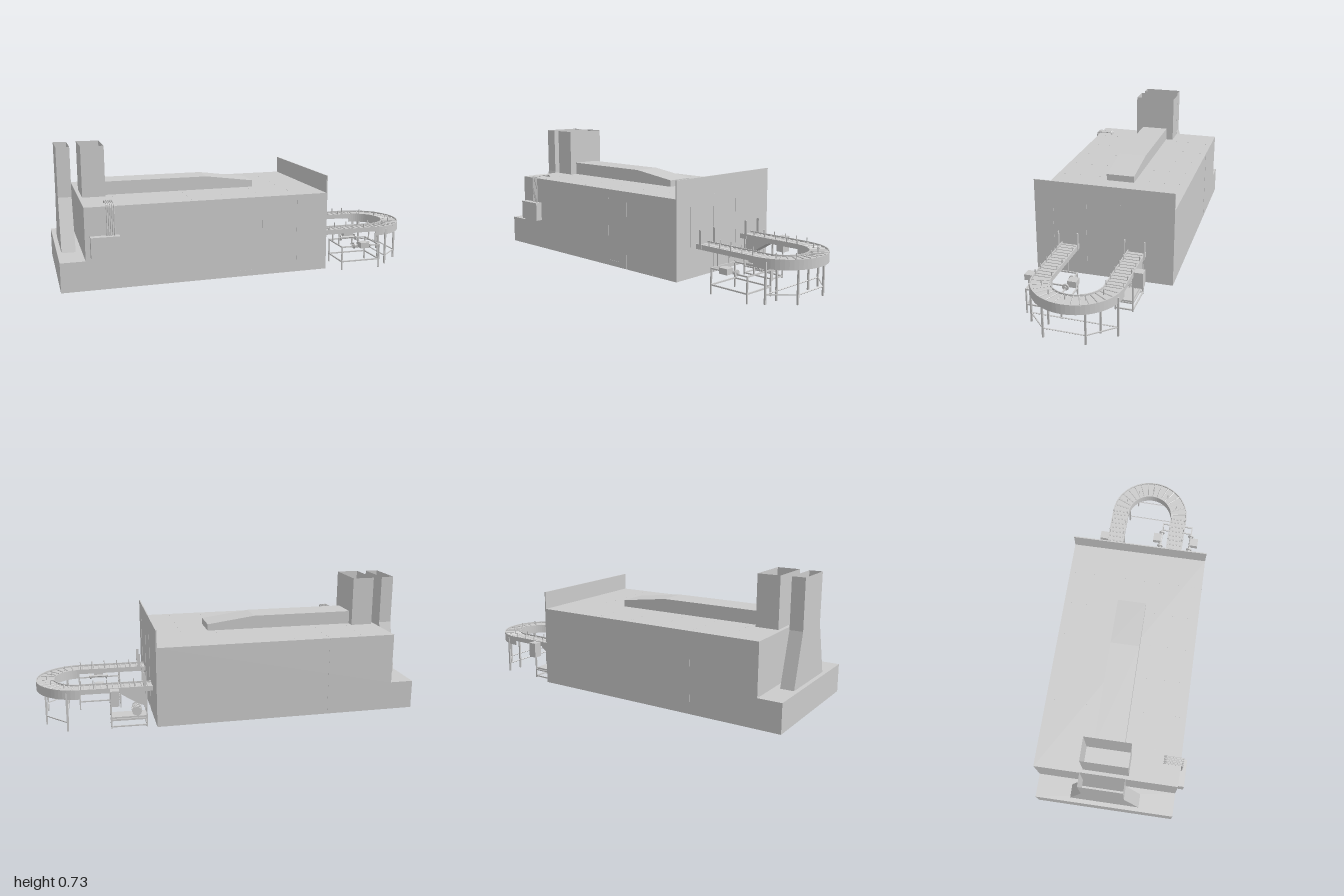
import * as THREE from 'three';

const mat = new THREE.MeshStandardMaterial({ color: 0xcccccc, flatShading: true, side: THREE.DoubleSide });

function add(parent, name, geo) {
  const m = new THREE.Mesh(geo, mat);
  m.name = name;
  parent.add(m);
  return m;
}
// Box given by its minimum and maximum on every axis
function box(parent, name, x0, x1, y0, y1, z0, z1) {
  const m = add(parent, name, new THREE.BoxGeometry(x1 - x0, y1 - y0, z1 - z0));
  m.position.set((x0 + x1) / 2, (y0 + y1) / 2, (z0 + z1) / 2);
  return m;
}
// Round bar between two points
function bar(parent, name, a, b, r, sides = 8) {
  const p = new THREE.Vector3(...a), q = new THREE.Vector3(...b), d = q.clone().sub(p);
  const m = add(parent, name, new THREE.CylinderGeometry(r, r, d.length(), sides));
  m.position.copy(p).add(q).multiplyScalar(0.5);
  m.quaternion.setFromUnitVectors(new THREE.Vector3(0, 1, 0), d.normalize());
  return m;
}
// Side profile in x and y, extruded along z
function profile(parent, name, pts, z0, z1) {
  const s = new THREE.Shape(pts.map(p => new THREE.Vector2(...p)));
  const m = add(parent, name, new THREE.ExtrudeGeometry(s, { depth: z1 - z0, bevelEnabled: false }));
  m.position.z = z0;
  return m;
}
// Open rectangular duct from levels of [y, x0, x1, z0, z1]
function duct(parent, name, levels) {
  const pos = [], idx = [];
  for (const [y, x0, x1, z0, z1] of levels) pos.push(x0, y, z1, x1, y, z1, x1, y, z0, x0, y, z0);
  for (let l = 0; l < levels.length - 1; l++) for (let i = 0; i < 4; i++) {
    const a = l * 4 + i, b = l * 4 + (i + 1) % 4;
    idx.push(a, b, b + 4, a, b + 4, a + 4);
  }
  const g = new THREE.BufferGeometry();
  g.setAttribute('position', new THREE.Float32BufferAttribute(pos, 3));
  g.setIndex(idx);
  const flat = g.toNonIndexed();
  flat.computeVertexNormals();
  return add(parent, name, flat);
}

// Oven housing in its own frame: x -0.695..0.695, z -0.37..0.37
function buildOven() {
  const g = new THREE.Group();
  g.name = 'oven';
  profile(g, 'housing', [[-0.695, 0.05], [0.69, 0.05], [0.69, 0.465], [-0.572, 0.465], [-0.572, 0.2], [-0.695, 0.2]], -0.37, 0.37);
  box(g, 'endWall', 0.689, 0.695, 0.05, 0.557, -0.37, 0.37);

  // Roof duct and the two open chimneys
  profile(g, 'roofDuct', [[-0.435, 0.465], [0.375, 0.465], [0.375, 0.5], [0.115, 0.535], [-0.435, 0.535]], -0.077, 0.077);
  duct(g, 'mainChimney', [[0.465, -0.553, -0.435, -0.118, 0.118], [0.727, -0.553, -0.435, -0.118, 0.118]]);
  duct(g, 'endChimney', [[0.2, -0.673, -0.603, -0.185, 0.185], [0.47, -0.673, -0.605, -0.108, 0.11], [0.727, -0.673, -0.605, -0.108, 0.11]]);

  // Control cabinet with its cable bundle bending onto the roof
  box(g, 'controlCabinet', -0.548, -0.406, 0.217, 0.322, 0.36, 0.407);
  for (let i = 0; i < 5; i++) {
    const x = -0.465 + i * 0.009;
    const path = new THREE.CurvePath();
    const v = (y, z) => new THREE.Vector3(x, y, z);
    path.add(new THREE.LineCurve3(v(0.32, 0.383), v(0.462, 0.383)));
    path.add(new THREE.QuadraticBezierCurve3(v(0.462, 0.383), v(0.48, 0.383), v(0.48, 0.365)));
    path.add(new THREE.LineCurve3(v(0.48, 0.365), v(0.48, 0.3)));
    path.add(new THREE.QuadraticBezierCurve3(v(0.48, 0.3), v(0.48, 0.285), v(0.463, 0.285)));
    add(g, 'cable', new THREE.TubeGeometry(path, 24, 0.0035, 6));
  }

  // Panel seams on roof, sides and end wall
  const w = 0.001;
  for (let i = 0; i < 6; i++) for (let j = 0; j < 8; j++) {
    const x = -0.4 + i * 0.184, z = -0.34 + j * 0.093;
    if (x > 0.376 || Math.abs(z) > 0.08) box(g, 'roofSeam', x - w, x + w, 0.46, 0.4655, z, z + 0.025);
  }
  for (const x of [0.335, 0.525]) box(g, 'sideSeam', x - w, x + w, 0.05, 0.465, 0.365, 0.371);
  box(g, 'doorSeam', 0.195 - w, 0.195 + w, 0.08, 0.42, 0.365, 0.371);
  box(g, 'doorSeam', 0.195, 0.3, 0.079, 0.081, 0.365, 0.371);
  box(g, 'sideSeam', -0.215 - w, -0.215 + w, 0.05, 0.465, -0.371, -0.365);
  for (const z of [0.27, 0.09, -0.09]) box(g, 'endSeam', 0.69, 0.6965, 0.05, 0.465, z - w, z + w);

  g.position.set(-0.295, 0, -0.016);
  g.rotation.y = 0.024;
  return g;
}

const CX = 0.773, CZ = -0.032, R0 = 0.13, R1 = 0.227;

// Half ring between two radii, standing from y0 to y1
function halfRing(parent, name, r0, r1, y0, y1) {
  const s = new THREE.Shape();
  s.absarc(0, 0, r1, -Math.PI / 2, Math.PI / 2, false);
  s.absarc(0, 0, r0, Math.PI / 2, -Math.PI / 2, true);
  const m = add(parent, name, new THREE.ExtrudeGeometry(s, { depth: y1 - y0, bevelEnabled: false, curveSegments: 16 }));
  m.rotation.x = -Math.PI / 2;
  m.position.set(CX, y0, CZ);
}

function buildConveyor() {
  const g = new THREE.Group();
  g.name = 'conveyor';
  // Curved bed with skirts
  halfRing(g, 'curveBelt', R0, R1, 0.205, 0.213);
  halfRing(g, 'curveInnerSkirt', R0, R0 + 0.005, 0.172, 0.222);
  halfRing(g, 'curveOuterSkirt', R1 - 0.005, R1, 0.172, 0.222);
  for (let i = 0; i <= 16; i++) {
    const a = -Math.PI / 2 + (i / 16) * Math.PI, c = Math.cos(a), s = Math.sin(a);
    bar(g, 'curveRoller', [CX + c * R0, 0.214, CZ + s * R0], [CX + c * R1, 0.214, CZ + s * R1], 0.004, 6);
  }
  // Straight arms, mirrored about the curve centre
  for (const side of [-1, 1]) {
    const near = CZ + side * R0, far = CZ + side * R1;
    const z0 = Math.min(near, far), z1 = Math.max(near, far);
    box(g, 'armBelt', 0.395, CX, 0.205, 0.213, z0, z1);
    for (const z of [z0, z1 - 0.005]) box(g, 'armRail', 0.395, CX, 0.197, 0.223, z, z + 0.005);
    for (let x = 0.42; x < CX; x += 0.03) bar(g, 'armRoller', [x, 0.214, z0], [x, 0.214, z1], 0.004, 6);
    for (const x of [0.49, 0.56, 0.63, 0.7, 0.765]) for (const z of [z0 + 0.006, z1 - 0.006])
      bar(g, 'guidePost', [x, 0.21, z], [x, 0.242, z], 0.003, 6);
    // Sensor posts beside the oven mouth
    for (const z of [z0 - 0.006, z1 + 0.002]) box(g, 'mouthPost', 0.432, 0.446, 0.2, 0.298, z, z + 0.004);
  }
  for (const a of [-1.1, -0.55, 0, 0.55, 1.1]) {
    const x = CX + Math.cos(a) * 0.172, z = CZ + Math.sin(a) * 0.172;
    bar(g, 'guidePost', [x, 0.21, z], [x, 0.24, z], 0.003, 6);
  }
  return g;
}

// Four-legged frame with rails at the given heights
function frame(parent, name, x0, x1, z0, z1, top, rails) {
  const g = new THREE.Group(), t = 0.0035;
  g.name = name;
  for (const x of [x0, x1]) for (const z of [z0, z1]) box(g, 'leg', x - t, x + t, 0, top, z - t, z + t);
  for (const y of rails) {
    for (const x of [x0, x1]) box(g, 'crossRail', x - t, x + t, y - t, y + t, z0, z1);
    for (const z of [z0, z1]) box(g, 'longRail', x0, x1, y - t, y + t, z - t, z + t);
  }
  parent.add(g);
}

function buildSupports() {
  const g = new THREE.Group();
  g.name = 'supports';
  frame(g, 'outfeedFrame', 0.55, 0.775, 0.058, 0.238, 0.135, [0.048, 0.131]);
  frame(g, 'infeedFrame', 0.43, 0.615, -0.255, -0.165, 0.2, [0.01, 0.048]);
  for (const z of [0.105, 0.19]) for (const x of [0.55, 0.775]) box(g, 'leg', x - 0.003, x + 0.003, 0.13, 0.2, z - 0.003, z + 0.003);

  // Legs under the curve, tied low down
  const feet = [[0.84, 0.185], [0.84, 0.098], [0.95, 0.08], [0.95, -0.13], [0.84, -0.165], [0.84, -0.25]];
  for (const [x, z] of feet) box(g, 'curveLeg', x - 0.0045, x + 0.0045, 0, 0.205, z - 0.0045, z + 0.0045);
  for (const [i, j] of [[0, 1], [0, 2], [1, 4], [2, 3], [3, 5], [4, 5]])
    bar(g, 'curveTie', [feet[i][0], 0.048, feet[i][1]], [feet[j][0], 0.048, feet[j][1]], 0.0035, 4);

  // Paired drives either side of the outfeed
  for (const [z, out] of [[0.238, 1], [0.058, -1]]) {
    bar(g, 'driveShaft', [0.61, 0.137, z], [0.72, 0.137, z], 0.007);
    for (const x of [0.62, 0.71]) bar(g, 'driveDisc', [x - 0.004, 0.137, z], [x + 0.004, 0.137, z], 0.017, 16);
    box(g, 'driveBox', 0.64, 0.69, 0.13, 0.16, Math.min(z, z + out * 0.047), Math.max(z, z + out * 0.047));
  }

  // Infeed chute, motor and switch box
  profile(g, 'infeedChute', [[0.425, 0.2], [0.425, 0.112], [0.465, 0.125], [0.57, 0.19], [0.57, 0.2]], -0.252, -0.174);
  box(g, 'switchBox', 0.573, 0.618, 0.137, 0.22, -0.305, -0.257);
  bar(g, 'motorBody', [0.48, 0.085, -0.25], [0.48, 0.085, -0.185], 0.024, 16);
  for (let i = 0; i < 12; i++) {
    const a = i * Math.PI / 6;
    const fin = box(g, 'motorFin', -0.027, 0.027, -0.001, 0.001, -0.03, 0.03);
    fin.position.set(0.48, 0.085, -0.217);
    fin.rotation.z = a / 2;
  }
  bar(g, 'motorFlange', [0.48, 0.085, -0.185], [0.48, 0.085, -0.178], 0.02, 16);
  bar(g, 'motorShaft', [0.48, 0.085, -0.18], [0.48, 0.085, -0.15], 0.007);
  bar(g, 'motorPulley', [0.48, 0.085, -0.158], [0.48, 0.085, -0.148], 0.018, 16);
  box(g, 'motorBase', 0.43, 0.615, 0.048, 0.06, -0.25, -0.17);
  return g;
}

export function createModel() {
  const model = new THREE.Group();
  model.name = 'tunnelOven';
  model.add(buildOven(), buildConveyor(), buildSupports());
  return model;
}
